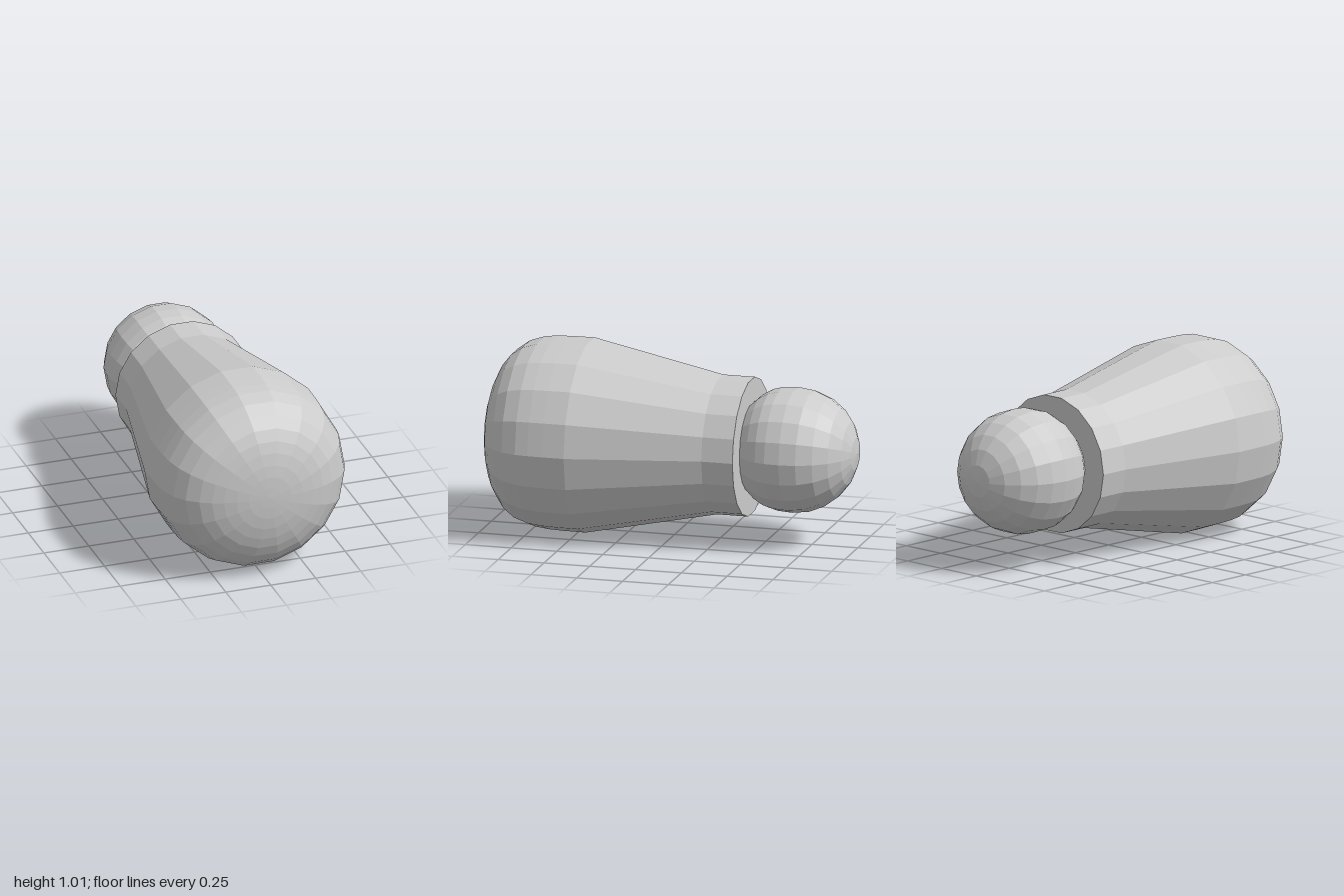
import * as THREE from 'three';

const SIDES = 18;
const AXIS_HEIGHT = 0.507;

// Faceted solid of revolution about the z axis; profile is [radius, z] from back to front
function turned(name, profile, material) {
  const points = profile.map(([r, z]) => new THREE.Vector2(r, z));
  const geometry = new THREE.LatheGeometry(points, SIDES, Math.PI / 2);
  geometry.rotateX(Math.PI / 2);
  const mesh = new THREE.Mesh(geometry, material);
  mesh.name = name;
  mesh.position.y = AXIS_HEIGHT;
  return mesh;
}

export function createModel() {
  const model = new THREE.Group();
  model.name = 'peg';
  const material = new THREE.MeshStandardMaterial({ color: 0xcccccc, flatShading: true });

  // Body: flat collar, straight taper, then a rounded end
  model.add(turned('body', [
    [0, -0.42], [0.369, -0.42], [0.369, -0.25],
    [0.515, 0.46], [0.514, 0.58], [0.511, 0.66], [0.503, 0.73], [0.476, 0.81],
    [0.43, 0.873], [0.37, 0.92], [0.31, 0.95], [0.25, 0.97],
    [0.185, 0.985], [0.12, 0.994], [0.06, 0.998], [0, 1],
  ], material));

  // Knob: rounded back half, then the shallower half sunk into the collar
  const knob = [];
  for (let i = 0; i <= 6; i++) {
    const a = (i / 6) * Math.PI / 2;
    knob.push([0.332 * Math.sin(a), -0.66 - 0.34 * Math.cos(a)]);
  }
  knob.push([0.327, -0.58], [0.312, -0.525], [0.28, -0.47], [0.235, -0.42], [0, -0.40]);
  model.add(turned('knob', knob, material));

  return model;
}
